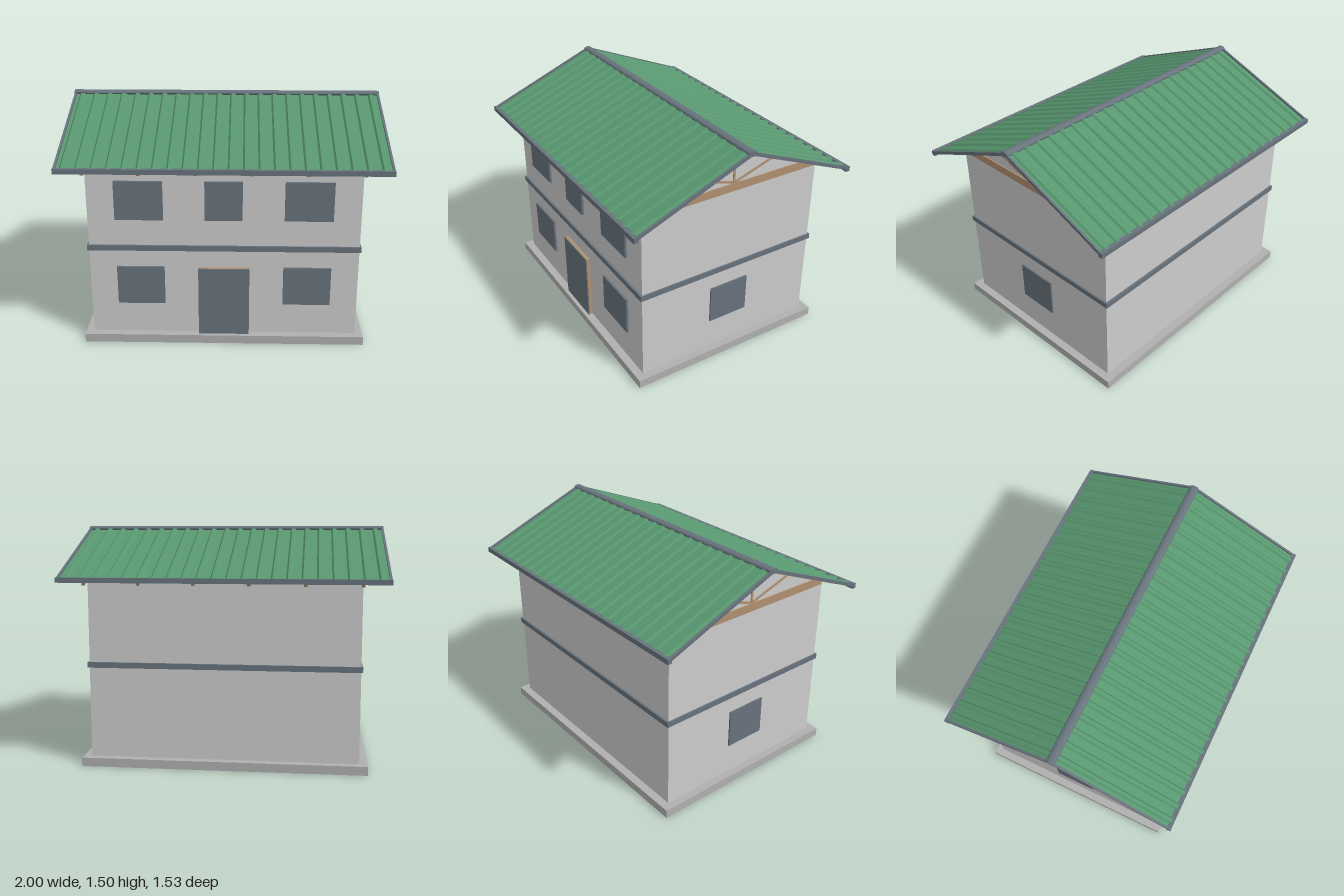
import * as THREE from 'three';

const mat = (name, color) => {
  const m = new THREE.MeshStandardMaterial({ color });
  m.name = name;
  return m;
};

export function createModel() {
  const house = new THREE.Group();
  house.name = 'house';
  const wall = mat('wall plaster', 0xcccccc);
  const concrete = mat('concrete', 0xb0b0b0);
  const slate = mat('slate trim', 0x68737d);
  const wood = mat('timber', 0xb09070);
  const green = mat('green roofing', 0x58976f);
  const SLOPE = 0.405;

  const add = (name, geo, material, parent = house) => {
    const m = new THREE.Mesh(geo, material);
    m.name = name;
    parent.add(m);
    return m;
  };
  // Box given by its min and max corners
  const box = (name, material, [x0, x1], [y0, y1], [z0, z1], parent) => {
    const m = add(name, new THREE.BoxGeometry(x1 - x0, y1 - y0, z1 - z0), material, parent);
    m.position.set((x0 + x1) / 2, (y0 + y1) / 2, (z0 + z1) / 2);
    return m;
  };
  // Beam between two (z, y) points at a given x
  const beam = (name, material, [z0, y0], [z1, y1], depth, width, x, parent) => {
    const m = add(name, new THREE.BoxGeometry(width, depth, Math.hypot(z1 - z0, y1 - y0)), material, parent);
    m.position.set(x, (y0 + y1) / 2, (z0 + z1) / 2);
    m.rotation.x = -Math.atan2(y1 - y0, z1 - z0);
    return m;
  };

  // Body
  box('foundation slab', concrete, [-0.89, 0.89], [0, 0.055], [-0.68, 0.68]);
  box('walls', wall, [-0.84, 0.84], [0.055, 1.175], [-0.627, 0.627]);
  box('floor band', slate, [-0.85, 0.85], [0.625, 0.66], [-0.64, 0.64]);

  // Windows and door
  const lower = [0.262, 0.515], upper = [0.83, 1.08], face = [0.62, 0.641];
  for (const s of [-1, 1]) {
    const span = s < 0 ? [-0.67, -0.372] : [0.372, 0.67];
    box('lowerWindow', slate, span, lower, face);
    box('upperWindow', slate, span, upper, face);
    box('sideWindow', slate, s < 0 ? [-0.85, -0.83] : [0.83, 0.85], lower, [-0.137, 0.137]);
  }
  box('middleWindow', slate, [-0.117, 0.115], upper, face);
  box('doorFrame', wood, [-0.16, 0.16], [0.055, 0.511], [0.62, 0.649]);
  box('doorPanel', slate, [-0.16, 0.16], [0.055, 0.511], [0.649, 0.656]);

  // Wall plates under the trusses
  for (const s of [-1, 1]) {
    box('wallPlate', wood, [-0.84, 0.84], [1.175, 1.195], [s * 0.605 - 0.015, s * 0.605 + 0.015]);
    box('gablePlate', wood, [s * 0.835 - 0.01, s * 0.835 + 0.01], [1.175, 1.197], [-0.62, 0.62]);
  }

  // Roof trusses
  for (let i = 0; i < 6; i++) {
    const x = -0.835 + i * 0.334;
    const truss = new THREE.Group();
    truss.name = 'truss';
    house.add(truss);
    box('bottomChord', wood, [x - 0.01, x + 0.01], [1.197, 1.226], [-0.59, 0.59], truss);
    box('kingPost', wood, [x - 0.008, x + 0.008], [1.22, 1.45], [-0.007, 0.007], truss);
    for (const s of [-1, 1]) {
      beam('rafter', wood, [0, 1.457], [s * 0.735, 1.457 - 0.735 * SLOPE], 0.028, 0.02, x, truss);
      beam('strut', wood, [0, 1.23], [s * 0.305, 1.33], 0.014, 0.016, x, truss);
    }
  }

  // Gable infill panels behind the end truss members
  const tri = new THREE.Shape([[-0.6, 1.2], [0.6, 1.2], [0, 1.45]].map(p => new THREE.Vector2(...p)));
  for (const s of [-1, 1]) {
    const panel = add('gablePanel', new THREE.ExtrudeGeometry(tri, { depth: 0.006, bevelEnabled: false }), wall);
    panel.rotation.y = Math.PI / 2;
    panel.position.x = s * 0.834 - 0.003;
  }

  // Ribbed sheet profile: 22 trapezoid ribs, top edge then underside
  const ribs = 22, half = 0.99, pitch = 2 * half / ribs, top = [];
  for (let i = 0; i < ribs; i++) {
    const x = -half + i * pitch;
    for (const [t, y] of [[0, 0], [0.28, 0], [0.4, 0.012], [0.62, 0.012], [0.74, 0]])
      top.push(new THREE.Vector2(x + t * pitch, y));
  }
  top.push(new THREE.Vector2(half, 0));
  const under = top.map(p => new THREE.Vector2(p.x, p.y - 0.004)).reverse();
  const profile = new THREE.Shape([...under, ...top]);
  const length = 0.748 * Math.hypot(1, SLOPE);
  const sheet = new THREE.ExtrudeGeometry(profile, { depth: length, bevelEnabled: false });
  sheet.rotateX(Math.atan(SLOPE));

  for (const s of [-1, 1]) {
    const slope = new THREE.Group();
    slope.name = s > 0 ? 'frontRoof' : 'backRoof';
    slope.rotation.y = s > 0 ? 0 : Math.PI;
    house.add(slope);
    add('roofSheet', sheet, green, slope).position.y = 1.484;
    // Purlins across the rafters
    for (let i = 0; i < 6; i++) {
      const z = 0.05 + i * 0.128, y = 1.4755 - z * SLOPE;
      beam('purlin', wood, [z - 0.012, y + 0.012 * SLOPE], [z + 0.012, y - 0.012 * SLOPE], 0.008, 1.97, 0, slope);
    }
    // Rake trims and eave gutter
    for (const e of [-1, 1])
      beam('rakeTrim', slate, [0, 1.486], [0.75, 1.486 - 0.75 * SLOPE], 0.02, 0.014, e * 0.992, slope);
    box('eaveTrim', slate, [-1, 1], [1.163, 1.194], [0.736, 0.764], slope);
  }

  // Ridge cap
  const cap = new THREE.CylinderGeometry(0.029, 0.029, 2, 10).toNonIndexed();
  cap.rotateZ(Math.PI / 2);
  cap.scale(1, 0.55, 1);
  cap.computeVertexNormals();
  add('ridgeCap', cap, slate).position.y = 1.486;

  return house;
}
